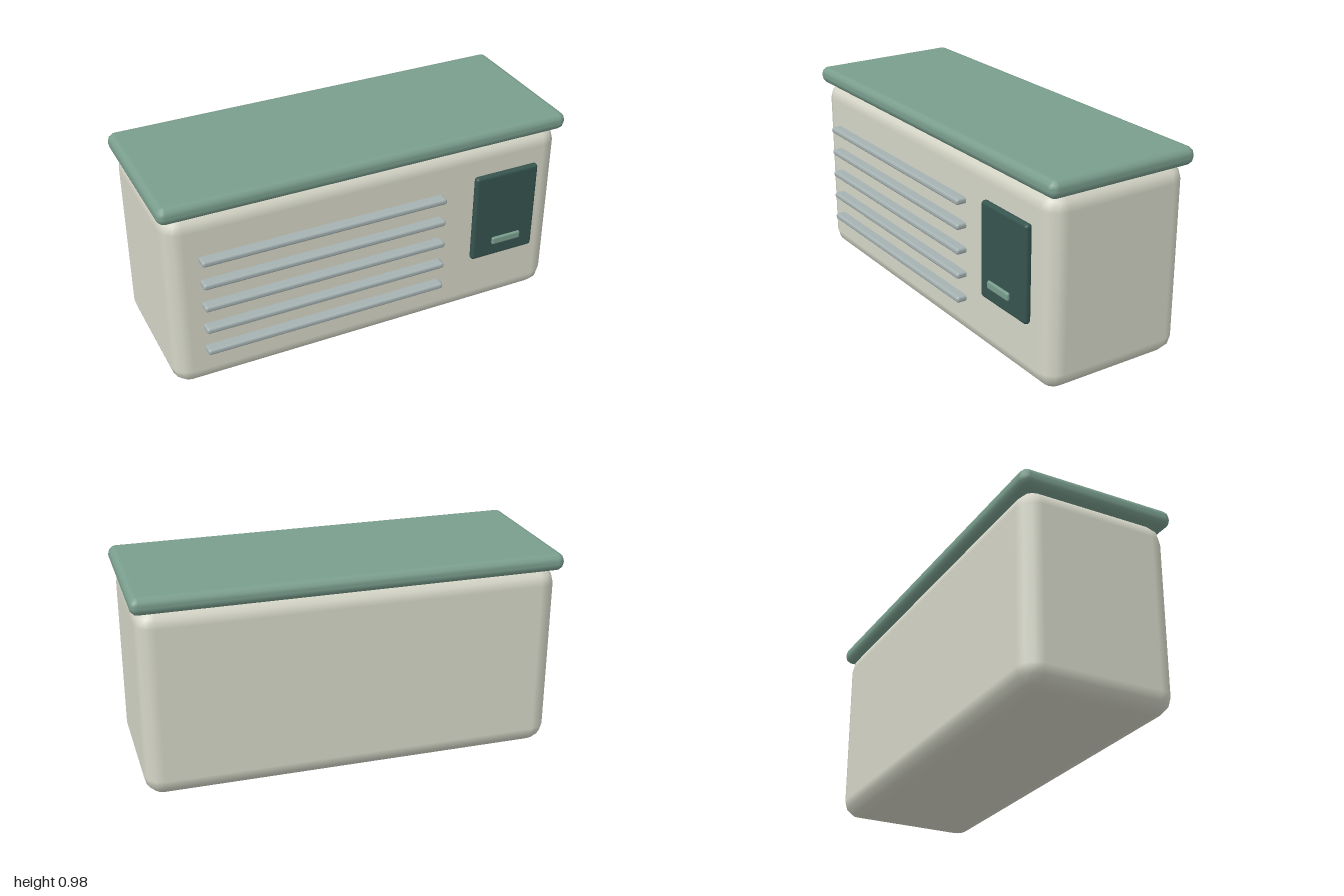
import * as THREE from 'three';

// Rounded box from min/max corners: stacked rings with three-step rounded edges and smooth normals
function roundedBox([x0, y0, z0], [x1, y1, z1], r, steps = 3) {
  const pos = [], nor = [], idx = [];
  const hx = (x1 - x0) / 2 - r, hy = (y1 - y0) / 2 - r, hz = (z1 - z0) / 2 - r;
  const ring = 4 * (steps + 1), rows = 2 * (steps + 1);
  const corners = [[1, 1], [-1, 1], [-1, -1], [1, -1]];
  for (let j = 0; j < rows; j++) {
    const top = j > steps;
    const phi = (top ? j - steps - 1 : j - steps) / steps * Math.PI / 2;
    corners.forEach(([sx, sz], c) => {
      for (let i = 0; i <= steps; i++) {
        const a = (c + i / steps) * Math.PI / 2;
        const n = [Math.cos(phi) * Math.cos(a), Math.sin(phi), Math.cos(phi) * Math.sin(a)];
        nor.push(...n);
        pos.push(
          (x0 + x1) / 2 + sx * hx + r * n[0],
          (y0 + y1) / 2 + (top ? hy : -hy) + r * n[1],
          (z0 + z1) / 2 + sz * hz + r * n[2]);
      }
    });
  }
  for (let j = 0; j < rows - 1; j++) {
    for (let i = 0; i < ring; i++) {
      const a = j * ring + i, b = j * ring + (i + 1) % ring;
      idx.push(a, a + ring, b, b, a + ring, b + ring);
    }
  }
  // flat caps between the four corner points
  const k = steps + 1, t = (rows - 1) * ring;
  idx.push(0, k, 2 * k, 0, 2 * k, 3 * k);
  idx.push(t, t + 2 * k, t + k, t, t + 3 * k, t + 2 * k);
  const g = new THREE.BufferGeometry();
  g.setAttribute('position', new THREE.Float32BufferAttribute(pos, 3));
  g.setAttribute('normal', new THREE.Float32BufferAttribute(nor, 3));
  g.setIndex(idx);
  return g;
}

function material(name, color) {
  const m = new THREE.MeshStandardMaterial({ color });
  m.name = name;
  return m;
}

export function createModel() {
  const model = new THREE.Group();
  model.name = 'storageUnit';
  const cream = material('cream', 0xd6d7c8);
  const sage = material('sage green', 0x7a9e8e);
  const darkGreen = material('dark green', 0x36544f);
  const grey = material('slat grey', 0xa6b2b2);

  const add = (name, mat, min, max, r) => {
    const mesh = new THREE.Mesh(roundedBox(min, max, r), mat);
    mesh.name = name;
    model.add(mesh);
  };

  // Case and overhanging lid
  add('body', cream, [-0.98, 0, -0.382], [0.98, 0.908, 0.341], 0.085);
  add('lid', sage, [-1, 0.893, -0.4], [1, 0.976, 0.358], 0.037);

  // Vent slats across the front
  for (let i = 0; i < 5; i++) {
    const y = 0.205 + i * 0.1193;
    add('ventSlat' + (i + 1), grey, [-0.835, y - 0.015, 0.315], [0.355, y + 0.015, 0.39], 0.012);
  }

  // Control panel with its small handle
  add('panel', darkGreen, [0.517, 0.294, 0.341], [0.852, 0.749, 0.375], 0.015);
  add('panelHandle', sage, [0.608, 0.376, 0.387], [0.762, 0.414, 0.404], 0.008);

  return model;
}
